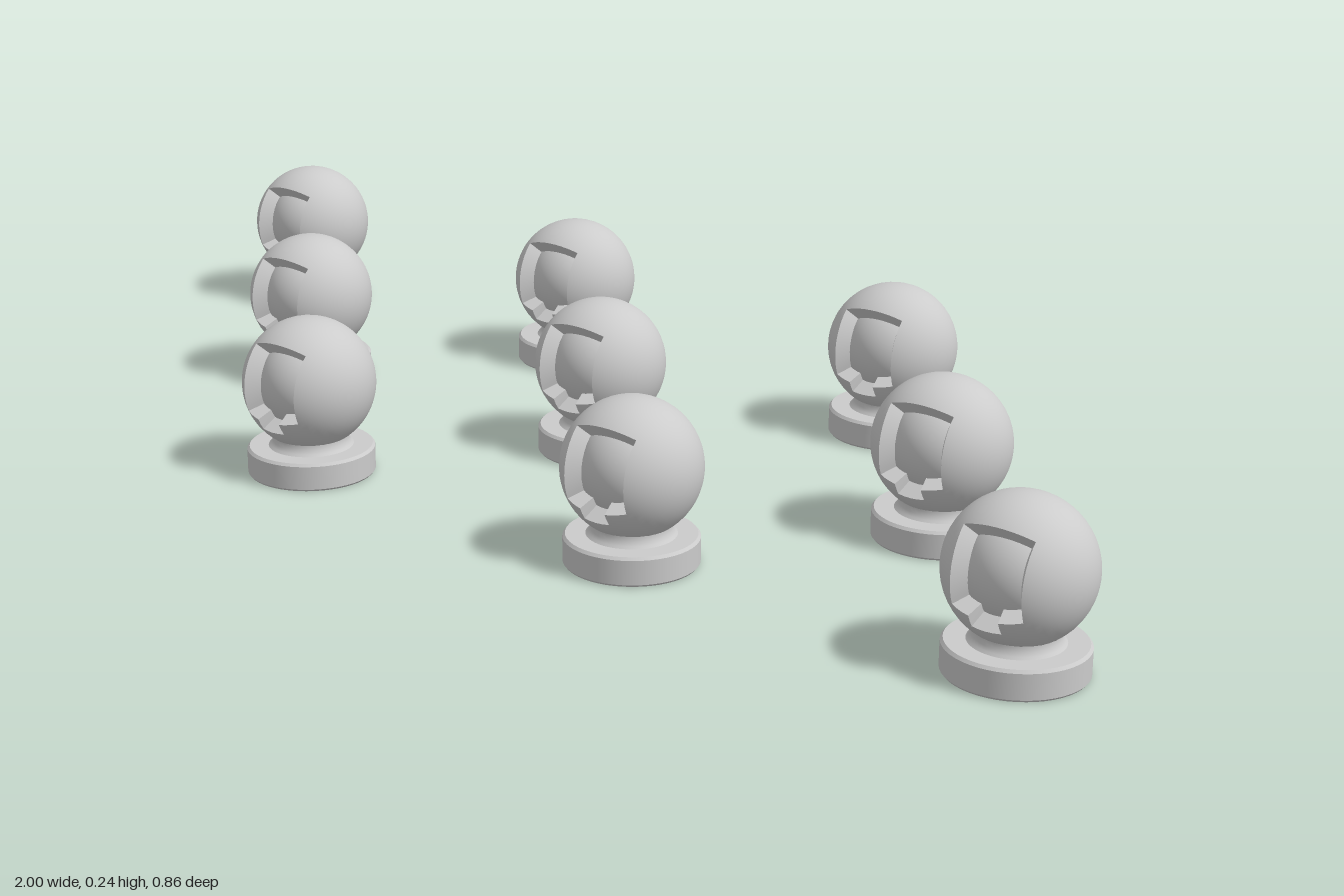
import * as THREE from 'three';
import { mergeGeometries } from 'three/addons/utils/BufferGeometryUtils.js';

const R = 0.0985;      // outer shell radius
const R_IN = 0.074;    // core radius
const CENTRE_Y = 0.138;
const STEP = 6;        // shell facet size in degrees
const rad = THREE.MathUtils.degToRad;

// Point on a ball whose poles lie on x: theta from +x, phi from the top over the front
function ballPoint(r, theta, phi) {
  const t = rad(theta), p = rad(phi);
  return [r * Math.cos(t), r * Math.cos(p) * Math.sin(t), r * Math.sin(p) * Math.sin(t)];
}

// Shell patch between two theta and two phi angles
function patch(t0, t1, p0, p1) {
  return new THREE.SphereGeometry(R, (p1 - p0) / STEP, (t1 - t0) / STEP,
    rad(p0), rad(p1 - p0), rad(t0), rad(t1 - t0)).rotateZ(-Math.PI / 2);
}

// Radial wall along one straight run of the window outline
function wall([t0, p0], [t1, p1]) {
  const n = Math.max(Math.abs(t1 - t0), Math.abs(p1 - p0)) / STEP;
  const pos = [], index = [];
  for (let i = 0; i <= n; i++) {
    const t = t0 + (t1 - t0) * i / n, p = p0 + (p1 - p0) * i / n;
    pos.push(...ballPoint(R, t, p), ...ballPoint(R_IN - 0.001, t, p));
    if (i < n) {
      const a = i * 2;
      index.push(a, a + 1, a + 2, a + 2, a + 1, a + 3);
    }
  }
  const g = new THREE.BufferGeometry();
  g.setAttribute('position', new THREE.Float32BufferAttribute(pos, 3));
  g.setIndex(index);
  g.computeVertexNormals();
  return g;
}

// Lathe built run by run so that the edges between runs stay sharp
function sharpLathe(points) {
  const runs = [];
  for (let i = 0; i < points.length - 1; i++) {
    runs.push(new THREE.LatheGeometry(
      [points[i], points[i + 1]].map(([x, y]) => new THREE.Vector2(x, y)), 48));
  }
  return mergeGeometries(runs);
}

export function createModel() {
  const grey = new THREE.MeshStandardMaterial({ color: 0xcccccc });
  const greyDouble = new THREE.MeshStandardMaterial({ color: 0xcccccc, side: THREE.DoubleSide });

  // Window outline: wide opening with a narrow notch in its sill
  const top = 42, sill = 114, notch = 126;
  const outline = [[60, top], [120, top], [120, sill], [102, sill],
    [102, notch], [78, notch], [78, sill], [60, sill]];

  const shellGeo = mergeGeometries([
    patch(0, 60, top, top + 360),
    patch(120, 180, top, top + 360),
    patch(60, 78, sill, top + 360),
    patch(102, 120, sill, top + 360),
    patch(78, 102, notch, top + 360),
  ]);
  const wallGeo = mergeGeometries(outline.map((p, i) => wall(p, outline[(i + 1) % outline.length])));
  const coreGeo = new THREE.SphereGeometry(R_IN, 40, 24);

  // Foot disc with bevelled edges, and the flared neck above it
  const footGeo = sharpLathe([[0, 0], [0.092, 0], [0.0945, 0.003], [0.0945, 0.038],
    [0.091, 0.042], [0, 0.042]]);
  const neckGeo = new THREE.LatheGeometry([[0.064, 0.041], [0.06, 0.045], [0.057, 0.05],
    [0.056, 0.056], [0.056, 0.062]].map(([x, y]) => new THREE.Vector2(x, y)), 48);

  function makeBall() {
    const ball = new THREE.Group();
    ball.name = 'displayBall';
    const add = (name, geo, mat, y = 0) => {
      const mesh = new THREE.Mesh(geo, mat);
      mesh.name = name;
      mesh.position.y = y;
      ball.add(mesh);
    };
    add('shell', shellGeo, grey, CENTRE_Y);
    add('windowWalls', wallGeo, greyDouble, CENTRE_Y);
    add('core', coreGeo, grey, CENTRE_Y);
    add('neck', neckGeo, greyDouble);
    add('foot', footGeo, grey);
    return ball;
  }

  // Three staggered rows of three
  const rows = [
    { z: -0.334, xs: [-0.9015, -0.308, 0.308] },
    { z: 0, xs: [-0.593, 0, 0.593] },
    { z: 0.334, xs: [-0.285, 0.308, 0.9015] },
  ];
  const model = new THREE.Group();
  model.name = 'displayBalls';
  for (const { z, xs } of rows) {
    for (const x of xs) {
      const ball = makeBall();
      ball.position.set(x, 0, z);
      model.add(ball);
    }
  }
  return model;
}
